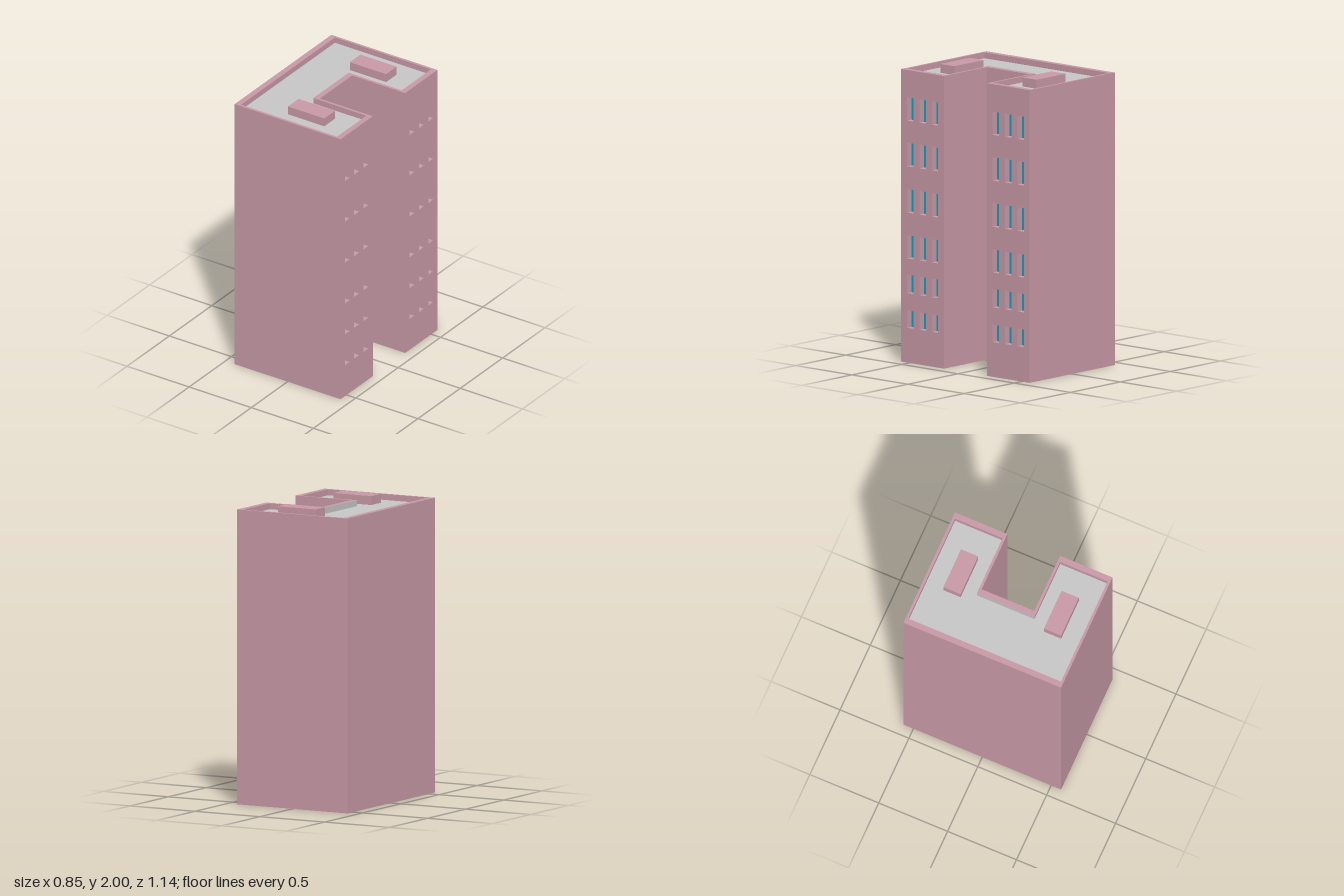
import * as THREE from 'three';
import { mergeGeometries } from 'three/addons/utils/BufferGeometryUtils.js';

const TOP = 1.98, ROOF = 1.94, REVEAL = 0.045;

const wallMat = new THREE.MeshStandardMaterial({ color: 0xc99ba8 });
wallMat.name = 'pink wall';
const glassMat = new THREE.MeshStandardMaterial({ color: 0x0ca6c2 });
glassMat.name = 'blue glass';
const roofMat = new THREE.MeshStandardMaterial({ color: 0xc8c8c8 });
roofMat.name = 'grey roof';

// C-shaped outlines in plan, as (x, -z), counter-clockwise from above
const outline = (x0, x1, notchX, zOut, zIn) => [
  [-x0, -zOut], [x1, -zOut], [x1, -zIn], [notchX, -zIn],
  [notchX, zIn], [x1, zIn], [x1, zOut], [-x0, zOut],
].map(([x, y]) => new THREE.Vector2(x, y));
const outer = outline(0.426, 0.426, 0, 0.572, 0.191);
const inner = outline(0.386, 0.386, -0.04, 0.554, 0.209);

// Flat four-cornered face, corners counter-clockwise from its front
function quad(a, b, c, d) {
  const g = new THREE.BufferGeometry();
  g.setAttribute('position', new THREE.Float32BufferAttribute([...a, ...b, ...c, ...d], 3));
  g.setAttribute('uv', new THREE.Float32BufferAttribute([0, 0, 1, 0, 1, 1, 0, 1], 2));
  g.setIndex([0, 1, 2, 0, 2, 3]);
  g.computeVertexNormals();
  return g;
}

// Upright wall from p to q, facing right of the direction of travel
const upright = (p, q, y0, y1) =>
  quad([p.x, y0, -p.y], [q.x, y0, -q.y], [q.x, y1, -q.y], [p.x, y1, -p.y]);

const rect = (u0, u1, y0, y1) =>
  [[u0, y0], [u1, y0], [u1, y1], [u0, y1]].map(([x, y]) => new THREE.Vector2(x, y));

// Window layout: storeys (bottom, top) and columns (from, to) along the facade
const storeys = [[0.235, 0.353], [0.47, 0.595], [0.705, 0.862],
  [1.015, 1.175], [1.328, 1.487], [1.637, 1.795]];
const wingColumns = [[0.243, 0.299], [0.352, 0.41], [0.464, 0.52]];
const mirrored = wingColumns.map(([a, b]) => [-b, -a]);

export function createModel() {
  const model = new THREE.Group();
  model.name = 'apartmentBlock';
  const add = (name, geometry, material, parent = model) => {
    const mesh = new THREE.Mesh(geometry, material);
    mesh.name = name;
    parent.add(mesh);
    return mesh;
  };

  // Facade facing +x with recessed windows
  function facade(name, x, u0, u1, columns) {
    const group = new THREE.Group();
    group.name = name;
    const shape = new THREE.Shape(rect(u0, u1, 0, TOP));
    const reveals = [], panes = [];
    for (const [y0, y1] of storeys) for (const [a, b] of columns) {
      const c = rect(a, b, y0, y1);
      shape.holes.push(new THREE.Path(c));
      c.forEach((p, i) => {
        const q = c[(i + 1) % 4];
        reveals.push(quad([p.x, p.y, 0], [q.x, q.y, 0], [q.x, q.y, -REVEAL], [p.x, p.y, -REVEAL]));
      });
      panes.push(quad(...c.map((p) => [p.x, p.y, -REVEAL])));
    }
    add('facadeWall', new THREE.ShapeGeometry(shape), wallMat, group);
    add('windowReveals', mergeGeometries(reveals), wallMat, group);
    add('windowPanes', mergeGeometries(panes), glassMat, group);
    group.rotation.y = Math.PI / 2;
    group.position.x = x;
    model.add(group);
  }
  facade('frontWingFacade', 0.426, -0.572, -0.191, mirrored);
  facade('rearWingFacade', 0.426, 0.191, 0.572, wingColumns);
  facade('courtFacade', 0, -0.191, 0.191, [[-0.098, 0.098]]);

  // Blank outer walls: every outline edge without windows
  const blank = [0, 2, 4, 6, 7].map((i) => upright(outer[i], outer[(i + 1) % 8], 0, TOP));
  add('blankWalls', mergeGeometries(blank), wallMat);

  // Parapet: flat cap and inner faces
  const cap = new THREE.Shape(outer);
  cap.holes.push(new THREE.Path(inner));
  add('parapetCap', new THREE.ShapeGeometry(cap).rotateX(-Math.PI / 2).translate(0, TOP, 0), wallMat);
  const lining = inner.map((p, i) => upright(inner[(i + 1) % 8], p, ROOF, TOP));
  const [courtLining] = lining.splice(3, 1);
  add('parapetLining', mergeGeometries(lining), wallMat);
  add('courtParapetLining', courtLining, roofMat);

  // Roof deck and underside
  add('roofDeck', new THREE.ShapeGeometry(new THREE.Shape(inner)).rotateX(-Math.PI / 2)
    .translate(0, ROOF, 0), roofMat);
  add('underside', new THREE.ShapeGeometry(new THREE.Shape(outer)).rotateX(Math.PI / 2), wallMat);

  // Rooftop housings, one per wing
  for (const side of [1, -1]) {
    const box = add(side > 0 ? 'frontRoofHousing' : 'rearRoofHousing',
      new THREE.BoxGeometry(0.292, 2 - ROOF, 0.125), wallMat);
    box.position.set(0.051, (2 + ROOF) / 2, side * 0.365);
  }
  return model;
}
